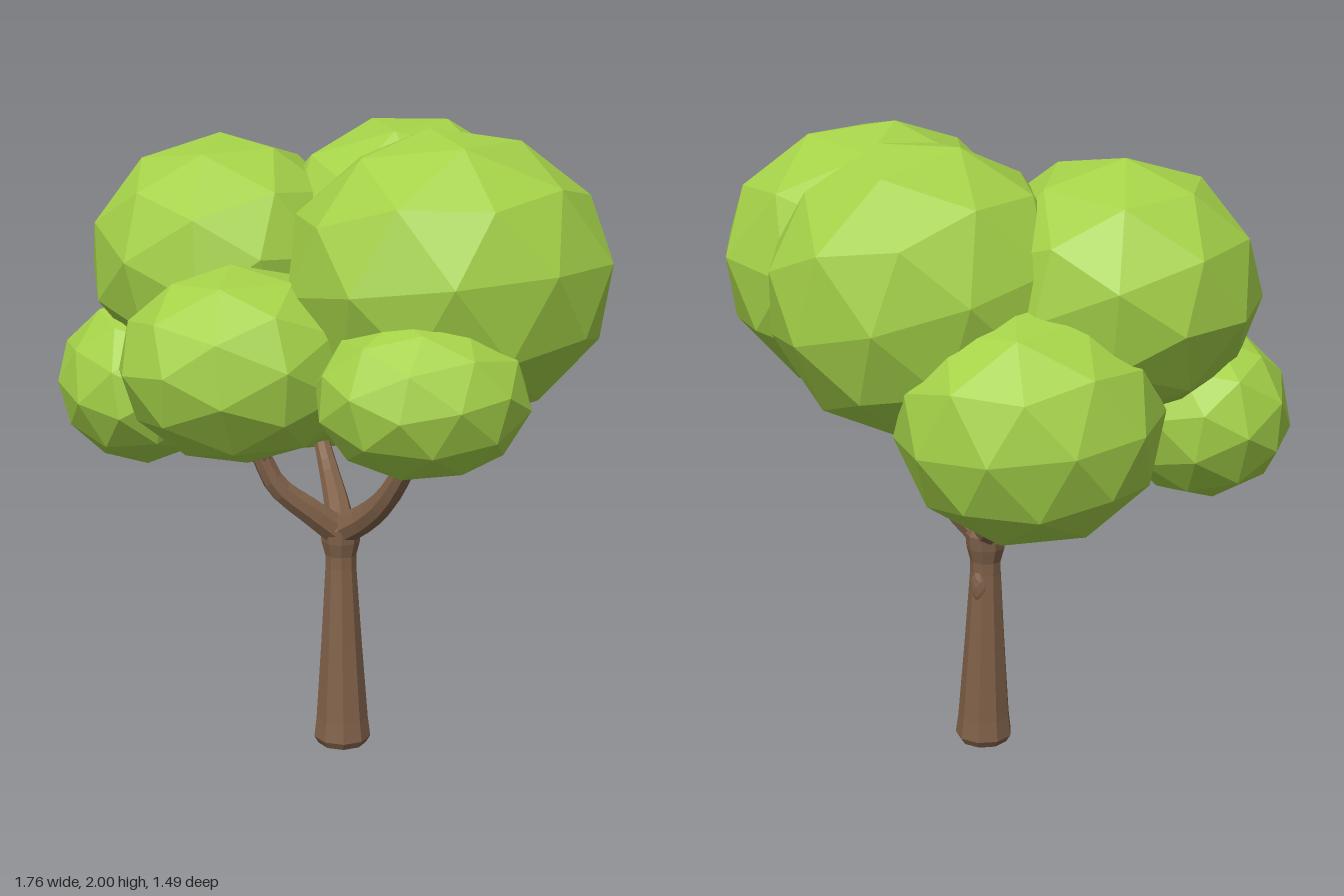
import * as THREE from 'three';

const leaf = new THREE.MeshStandardMaterial({ color: 0xa4d148, flatShading: true });
leaf.name = 'leaf green';
const bark = new THREE.MeshStandardMaterial({ color: 0x806149, flatShading: true });
bark.name = 'bark brown';

const V = (p) => new THREE.Vector3(...p);

// Low-poly leaf ball: faceted sphere, turned, fitted to its radii, then yawed
// so that its first radius lies on the left-back diagonal and its third on the left-front one
function leafBall(name, centre, radii, turn) {
  const g = new THREE.IcosahedronGeometry(1, 1);
  g.applyMatrix4(new THREE.Matrix4().makeRotationFromEuler(new THREE.Euler(...turn)));
  g.computeBoundingBox();
  const half = g.boundingBox.getSize(new THREE.Vector3()).multiplyScalar(0.5);
  g.center();
  g.scale(radii[0] / half.x, radii[1] / half.y, radii[2] / half.z);
  g.rotateY(Math.PI / 4);
  g.translate(...centre);
  const m = new THREE.Mesh(g, leaf);
  m.name = name;
  return m;
}

// Branch: tube along a curve, narrowing from r0 to r1, its last ring closing the tip
function branch(name, points, r0, r1) {
  const curve = new THREE.CatmullRomCurve3(points.map(V));
  const steps = 9, sides = 8;
  const g = new THREE.TubeGeometry(curve, steps, 1, sides, false);
  const pos = g.attributes.position;
  const v = new THREE.Vector3();
  for (let i = 0; i <= steps; i++) {
    const t = Math.min(i / (steps - 1), 1);
    const from = curve.getPointAt(i / steps), to = curve.getPointAt(t);
    const r = i === steps ? 0 : THREE.MathUtils.lerp(r0, r1, t);
    for (let j = 0; j <= sides; j++) {
      const k = i * (sides + 1) + j;
      v.fromBufferAttribute(pos, k).sub(from).multiplyScalar(r).add(to);
      pos.setXYZ(k, v.x, v.y, v.z);
    }
  }
  g.computeVertexNormals();
  const m = new THREE.Mesh(g, bark);
  m.name = name;
  return m;
}

export function createModel() {
  const tree = new THREE.Group();
  tree.name = 'tree';

  // Trunk: flared foot, slim waist and a swollen fork, leaning slightly
  const profile = [
    [0, 0.003], [0.078, 0.012], [0.092, 0.035], [0.084, 0.1], [0.066, 0.35],
    [0.05, 0.6], [0.05, 0.64], [0.062, 0.685], [0.066, 0.73], [0.05, 0.765], [0, 0.78],
  ].map(([r, y]) => new THREE.Vector2(r, y));
  const trunkGeo = new THREE.LatheGeometry(profile, 9);
  const p = trunkGeo.attributes.position;
  for (let i = 0; i < p.count; i++) {
    const t = p.getY(i) / 0.75;
    p.setX(i, p.getX(i) + 0.044 - 0.02 * t);
    p.setZ(i, p.getZ(i) - 0.02 - 0.015 * t);
  }
  const trunk = new THREE.Mesh(trunkGeo, bark);
  trunk.name = 'trunk';

  // Small knot on the back of the trunk
  const knot = new THREE.Mesh(new THREE.IcosahedronGeometry(1, 1), bark);
  knot.name = 'knot';
  knot.scale.set(0.03, 0.06, 0.025);
  knot.position.set(0.03, 0.56, -0.066);

  // Three main branches, two of them forked
  const branches = new THREE.Group();
  branches.name = 'branches';
  branches.add(
    branch('leftBranch', [[0.03, 0.72, -0.03], [0.13, 0.78, -0.02], [0.22, 0.855, 0], [0.33, 1.01, 0.02]], 0.05, 0.031),
    branch('leftForkOuter', [[0.31, 0.98, 0.02], [0.39, 1.055, 0.07], [0.5, 1.11, 0.14]], 0.029, 0.022),
    branch('leftForkUpper', [[0.31, 0.98, 0.02], [0.36, 1.07, -0.02], [0.39, 1.19, -0.05]], 0.029, 0.022),
    branch('rightBranch', [[0.03, 0.71, -0.03], [-0.03, 0.79, 0.05], [-0.1, 0.88, 0.13], [-0.14, 0.99, 0.165]], 0.05, 0.03),
    branch('rightForkOuter', [[-0.13, 0.97, 0.16], [-0.22, 1.005, 0.18], [-0.36, 1.05, 0.2]], 0.028, 0.02),
    branch('rightForkInner', [[-0.13, 0.96, 0.155], [-0.127, 1.03, 0.19], [-0.12, 1.08, 0.25]], 0.028, 0.02),
    branch('backBranch', [[0.03, 0.72, -0.03], [-0.04, 0.785, -0.1], [-0.12, 0.85, -0.17], [-0.2, 0.94, -0.23]], 0.048, 0.026),
  );

  // Canopy: three big leaf balls on top, four smaller ones beneath
  const canopy = new THREE.Group();
  canopy.name = 'canopy';
  canopy.add(
    leafBall('upperRightLeaves', [-0.385, 1.56, 0.03], [0.41, 0.385, 0.46], [0.4, 0.3, 0.2]),
    leafBall('upperLeftLeaves', [0.425, 1.57, -0.025], [0.485, 0.43, 0.455], [-1.12, 0, 0.2]),
    leafBall('upperBackLeaves', [0.06, 1.56, -0.33], [0.45, 0.43, 0.41], [0.7, 0.2, 1.1]),
    leafBall('frontLeaves', [-0.025, 1.32, 0.395], [0.35, 0.29, 0.325], [1.0, 0.5, 0.3]),
    leafBall('lowerLeftLeaves', [0.555, 1.28, 0.29], [0.3, 0.23, 0.27], [0.3, 1.2, 0.8]),
    leafBall('lowerRightLeaves', [-0.585, 1.17, 0.205], [0.27, 0.255, 0.325], [0.6, 0.1, 0.9]),
    leafBall('lowerBackLeaves', [-0.32, 1.22, -0.355], [0.38, 0.35, 0.39], [0.1, 0.7, 0.4]),
  );

  tree.add(trunk, knot, branches, canopy);
  return tree;
}
